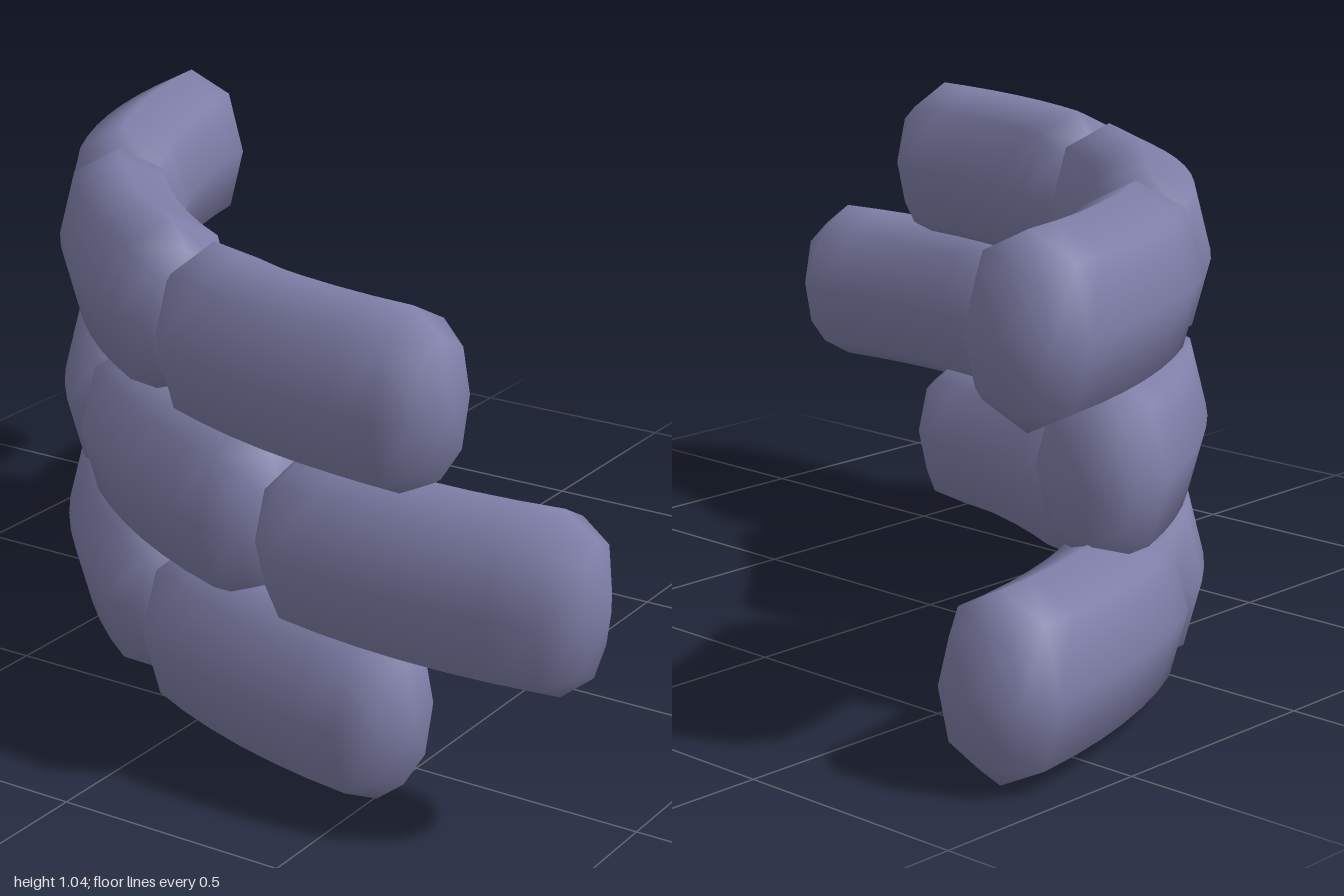
import * as THREE from 'three';
import { mergeVertices } from 'three/addons/utils/BufferGeometryUtils.js';

// Arc that the wall follows, and the half sizes of a bag
const CENTER = { x: 0.68, z: -0.88 };
const RADIUS = 1.545;
const BAG_ANGLE = 0.489;
const HALF_DEPTH = 0.135;
const HALF_HEIGHT = 0.19;

// A stuffed, eight-sided bag bent around the arc, starting at the given angle
function bentBag(startAngle, y) {
  const ends = [[0, 0], [0.03, 0.73], [0.095, 1]];
  const length = BAG_ANGLE * RADIUS;
  const profile = ends.map(([s, r]) => new THREE.Vector2(r, s));
  for (let i = 1; i < 6; i++) {
    profile.push(new THREE.Vector2(1, 0.095 + (length - 0.19) * i / 6));
  }
  for (const [s, r] of [...ends].reverse()) profile.push(new THREE.Vector2(r, length - s));

  let geometry = new THREE.LatheGeometry(profile, 8);
  const p = geometry.attributes.position;
  for (let i = 0; i < p.count; i++) {
    const angle = startAngle + p.getY(i) / RADIUS;
    // diagonal corners are pushed out a little, for a fuller section
    const px = p.getX(i), pz = p.getZ(i);
    const full = Math.abs(px * pz) > 0.05 ? 1.04 : 1;
    const r = RADIUS + px * HALF_DEPTH * full;
    p.setXYZ(i,
      CENTER.x - r * Math.sin(angle),
      y - pz * HALF_HEIGHT * full,
      CENTER.z + r * Math.cos(angle));
  }
  geometry.deleteAttribute('uv');
  geometry.deleteAttribute('normal');
  geometry = mergeVertices(geometry, 1e-4);
  geometry.computeVertexNormals();
  return geometry;
}

export function createModel() {
  const model = new THREE.Group();
  model.name = 'sandbagWall';
  const cloth = new THREE.MeshStandardMaterial({ color: 0x8080aa });
  cloth.name = 'blue grey cloth';

  // Three staggered rows of three bags, from the ground up
  const rows = [
    { name: 'bottomRow', y: 0.19, start: 0.052 },
    { name: 'middleRow', y: 0.51, start: -0.208 },
    { name: 'topRow', y: 0.848, start: 0 },
  ];
  for (const { name, y, start } of rows) {
    const row = new THREE.Group();
    row.name = name;
    for (let i = 0; i < 3; i++) {
      const bag = new THREE.Mesh(bentBag(start + i * BAG_ANGLE, y), cloth);
      bag.name = `sandbag${i + 1}`;
      row.add(bag);
    }
    model.add(row);
  }
  return model;
}
